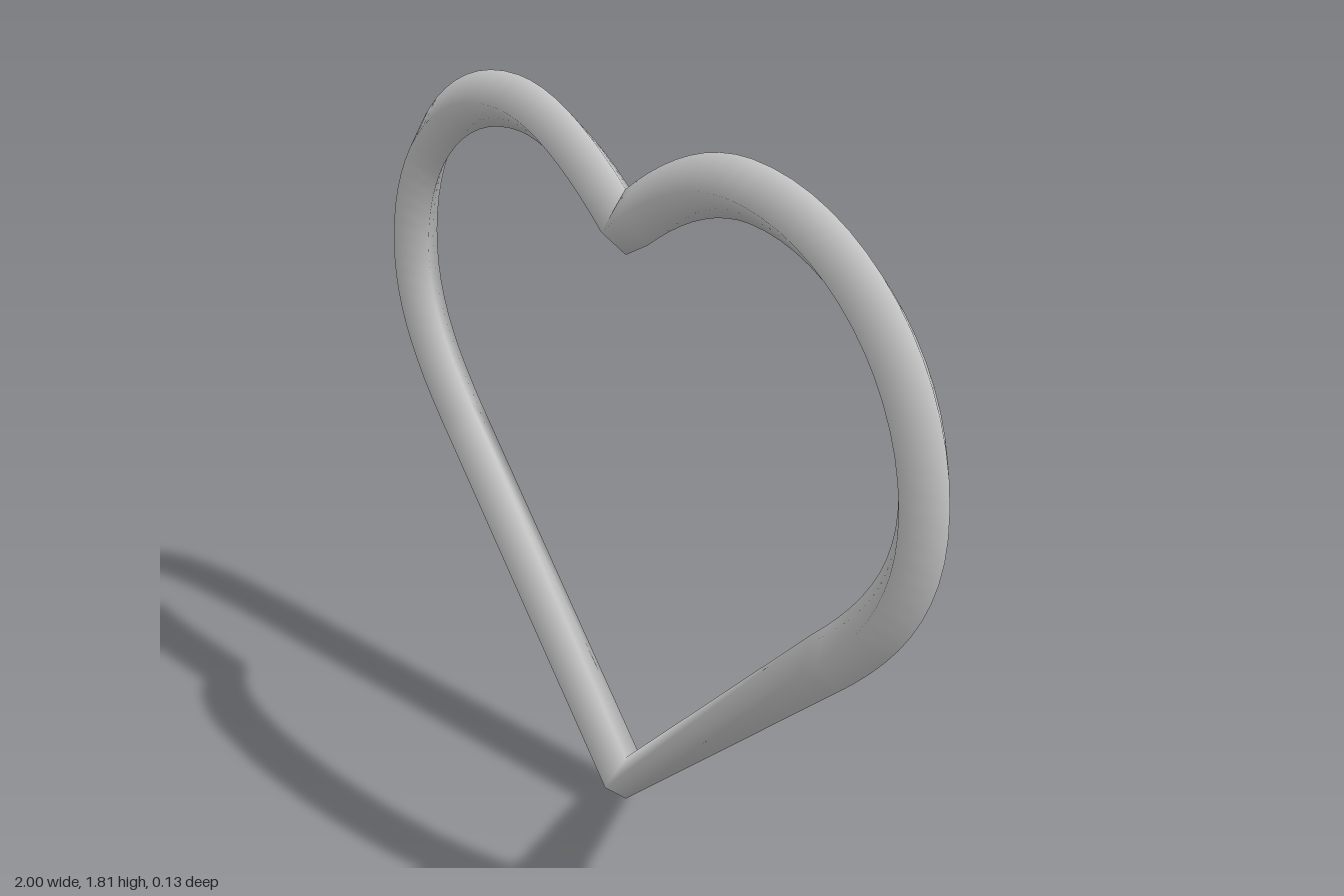
import * as THREE from 'three';

const R = 0.066; // half width of the diamond-shaped bar

// Right half of the heart's centre line, from the bottom tip to the notch
function halfPath() {
  const v = (x, y) => new THREE.Vector2(x, y);
  const tip = v(0, 0.071), notch = v(0, 1.565);
  const lobes = [
    new THREE.CubicBezierCurve(v(0.70, 0.80), v(0.85, 0.95), v(0.935, 1.08), v(0.935, 1.235)),
    new THREE.CubicBezierCurve(v(0.935, 1.235), v(0.935, 1.52), v(0.70, 1.748), v(0.41, 1.748)),
    new THREE.CubicBezierCurve(v(0.41, 1.748), v(0.27, 1.748), v(0.13, 1.67), notch),
  ];
  const stations = [{ p: tip, n: v(0, -1) }];
  lobes.forEach((curve, k) => {
    const steps = [10, 16, 10][k];
    for (let i = k ? 1 : 0; i <= steps; i++) {
      const t = curve.getTangent(i / steps);
      stations.push({ p: curve.getPoint(i / steps), n: v(t.y, -t.x) });
    }
  });
  stations[stations.length - 1].n.set(0, 1); // vertical joint at the notch
  return stations;
}

// Closed bar with a four-cornered section swept along the stations
function sweep(stations, sides) {
  const positions = [], index = [], count = stations.length;
  stations.forEach(({ p, n }, i) => {
    for (let j = 0; j < sides; j++) {
      const a = (j / sides) * Math.PI * 2;
      const out = R * Math.cos(a);
      positions.push(p.x + n.x * out, p.y + n.y * out, R * Math.sin(a));
      const next = ((i + 1) % count) * sides, j1 = (j + 1) % sides;
      const A = i * sides + j, B = i * sides + j1, C = next + j1, D = next + j;
      index.push(A, D, C, A, C, B);
    }
  });
  const geometry = new THREE.BufferGeometry();
  geometry.setAttribute('position', new THREE.Float32BufferAttribute(positions, 3));
  geometry.setIndex(index);
  geometry.computeVertexNormals();
  return geometry;
}

export function createModel() {
  const group = new THREE.Group();
  group.name = 'heartFrame';
  const silver = new THREE.MeshStandardMaterial({ color: 0xc4c4c4 });
  silver.name = 'silver';

  // Mirror the half path to close the heart
  const right = halfPath();
  const left = right.slice(1, -1).reverse().map(({ p, n }) => ({
    p: new THREE.Vector2(-p.x, p.y),
    n: new THREE.Vector2(-n.x, n.y),
  }));
  const ring = new THREE.Mesh(sweep([...right, ...left], 4), silver);
  ring.name = 'heartRing';
  group.add(ring);
  return group;
}
